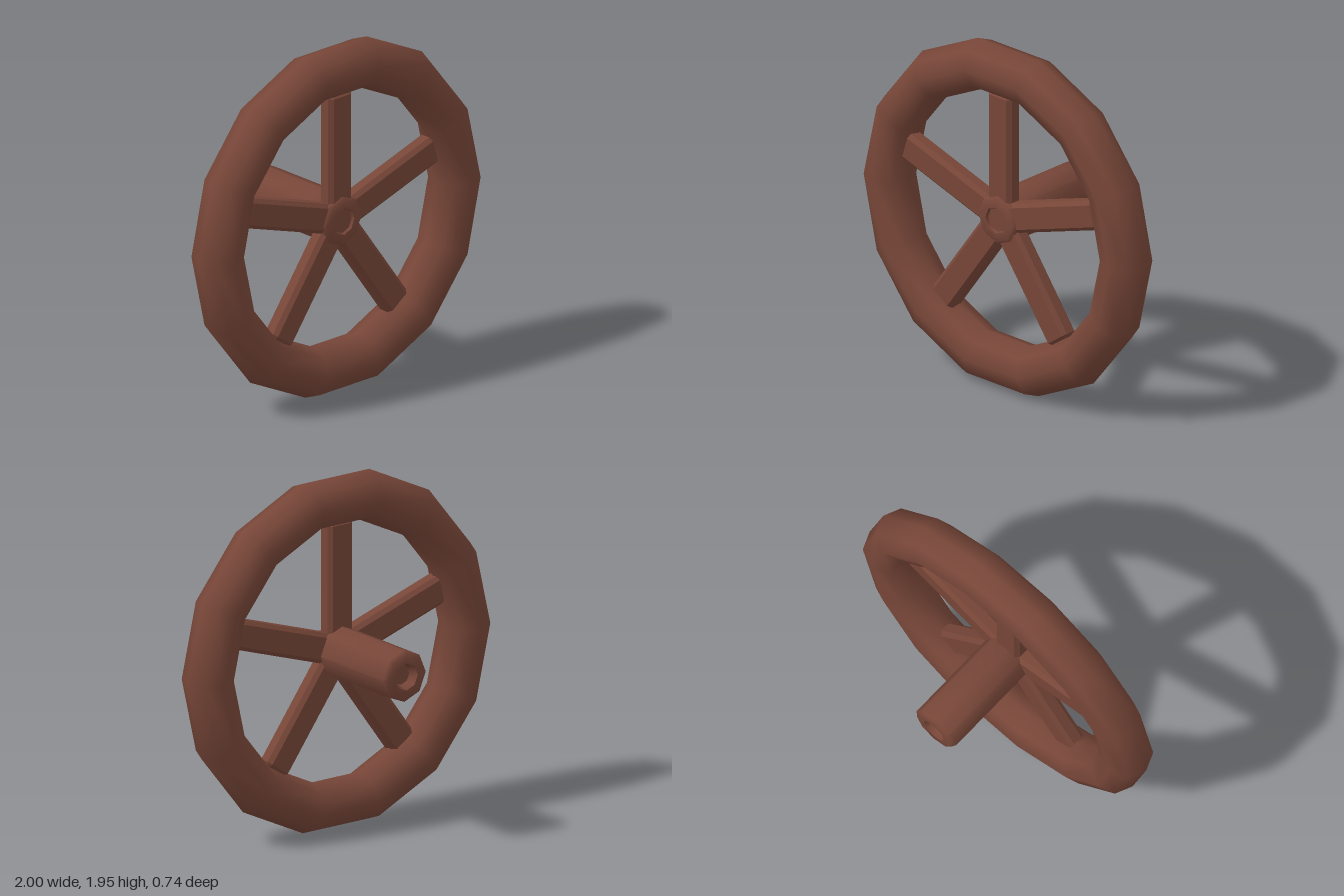
import * as THREE from 'three';
import { toCreasedNormals } from 'three/addons/utils/BufferGeometryUtils.js';

const CENTRE_Y = 0.975;
const HUB_X = -0.015;

// Chamfered flat bar running up +y from the origin
function spokeGeometry(width, depth, length, chamfer) {
  const w = width / 2, d = depth / 2, c = 0.022;
  const section = new THREE.Shape([
    [w - c, -d], [w, -d + c], [w, d - c], [w - c, d],
    [-w + c, d], [-w, d - c], [-w, -d + c], [-w + c, -d],
  ].map(([x, y]) => new THREE.Vector2(x, y)));
  const geometry = new THREE.ExtrudeGeometry(section, {
    depth: length - chamfer, bevelEnabled: true, bevelSegments: 1,
    bevelSize: chamfer, bevelThickness: chamfer, bevelOffset: -chamfer,
  });
  return geometry.rotateX(-Math.PI / 2);
}

// Eight-sided shaft along z with chamfered ends and a shallow socket in each
function hubGeometry(back, front) {
  const end = [[0, 0.05], [0.055, 0.05], [0.075, 0], [0.123, 0], [0.143, 0.02]];
  const profile = [
    ...end.map(([r, inset]) => new THREE.Vector2(r, back + inset)),
    ...end.slice().reverse().map(([r, inset]) => new THREE.Vector2(r, front - inset)),
  ];
  const lathe = new THREE.LatheGeometry(profile, 8).rotateX(Math.PI / 2);
  return toCreasedNormals(lathe, THREE.MathUtils.degToRad(50));
}

export function createModel() {
  const model = new THREE.Group();
  model.name = 'handWheel';
  const rust = new THREE.MeshStandardMaterial({ color: 0x774638 });
  rust.name = 'rustBrown';

  const add = (name, geometry, x, y, z) => {
    const mesh = new THREE.Mesh(geometry, rust);
    mesh.name = name;
    mesh.position.set(x, y, z);
    model.add(mesh);
    return mesh;
  };

  // Rim
  add('rim', new THREE.TorusGeometry(0.86, 0.14, 8, 14), 0, CENTRE_Y, 0.23);

  // Hub and shaft
  add('hub', hubGeometry(-0.37, 0.31), HUB_X, CENTRE_Y, 0);

  // Five spokes, the first pointing straight up
  const spoke = spokeGeometry(0.165, 0.1, 0.725, 0.015);
  for (let i = 0; i < 5; i++) {
    add(`spoke${i + 1}`, spoke, HUB_X, CENTRE_Y, 0.245).rotation.z = (i * Math.PI * 2) / 5;
  }
  return model;
}
